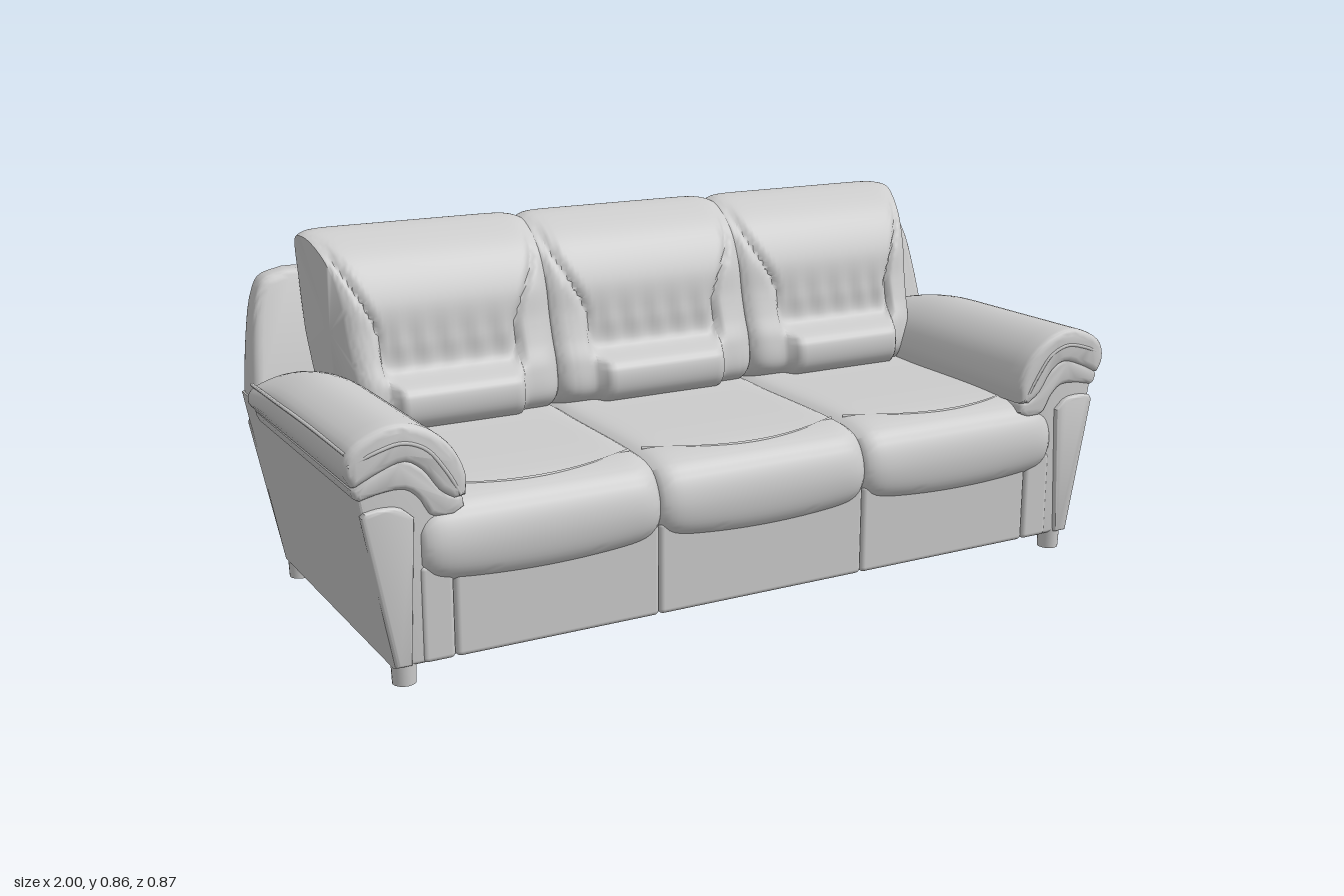
import * as THREE from 'three';
import { toCreasedNormals } from 'three/addons/utils/BufferGeometryUtils.js';
import { RoundedBoxGeometry } from 'three/addons/geometries/RoundedBoxGeometry.js';

const material = new THREE.MeshStandardMaterial({ color: 0xcccccc });
const smooth = THREE.MathUtils.smoothstep;
const bump = (d, w) => Math.exp(-(d / w) * (d / w));

function add(group, name, geometry, x = 0, y = 0, z = 0) {
  const mesh = new THREE.Mesh(geometry, material);
  mesh.name = name;
  mesh.position.set(x, y, z);
  group.add(mesh);
  return mesh;
}

// Moves every vertex by a rule, then restores soft normals
function reshape(geometry, rule, crease = 0.65) {
  const p = geometry.attributes.position;
  const v = new THREE.Vector3();
  for (let i = 0; i < p.count; i++) {
    rule(v.fromBufferAttribute(p, i));
    p.setXYZ(i, v.x, v.y, v.z);
  }
  return toCreasedNormals(geometry, crease);
}

// Extrudes a front outline from z0 to z1 with rounded edges
function slab(shape, z0, z1, bevel, rule = () => {}, steps = 1) {
  const geometry = new THREE.ExtrudeGeometry(shape, {
    depth: z1 - z0 - 2 * bevel, steps, curveSegments: 10,
    bevelSize: bevel, bevelThickness: bevel, bevelOffset: -bevel, bevelSegments: 4,
  });
  geometry.translate(0, 0, z0 + bevel);
  return reshape(geometry, rule);
}

const outline = (pts, side = 1) => new THREE.Shape(pts.map(([x, y]) => new THREE.Vector2(x * side, y)));

// Smooth outline through a few points
function curved(pts, n, closed = false) {
  const curve = new THREE.CatmullRomCurve3(pts.map(([a, b]) => new THREE.Vector3(a, b, 0)), closed, 'centripetal');
  return Array.from({ length: n }, (_, i) => {
    const p = curve.getPoint(i / (closed ? n : n - 1));
    return [p.x, p.y];
  });
}

// Cushion: closed (z, y) profiles lofted along x; section(u, j) returns [x, y, z]
function cushion(section, across, around) {
  const pos = [], index = [];
  for (let i = 0; i <= across; i++) {
    const t = (2 * i) / across - 1;
    const u = 0.5 * t + 0.5 * Math.sin((t * Math.PI) / 2);
    for (let j = 0; j < around; j++) pos.push(...section(u, j));
  }
  for (const i of [0, across]) {
    const c = [0, 0, 0];
    for (let j = 0; j < around; j++) for (let k = 0; k < 3; k++) c[k] += pos[(i * around + j) * 3 + k] / around;
    pos.push(...c);
  }
  const first = (across + 1) * around;
  for (let j = 0; j < around; j++) {
    const n = (j + 1) % around, last = across * around;
    for (let i = 0; i < across; i++) {
      const a = i * around, b = a + around;
      index.push(a + j, b + j, b + n, a + j, b + n, a + n);
    }
    index.push(first, j, n, first + 1, last + n, last + j);
  }
  const geometry = new THREE.BufferGeometry();
  geometry.setAttribute('position', new THREE.Float32BufferAttribute(pos, 3));
  geometry.setIndex(index);
  return toCreasedNormals(geometry, 0.9);
}

// Leaning rear plane shared by the arms and the back
const rear = (y) => -0.372 - 0.088 * (y - 0.04);

function seatCushion(cx, half) {
  const profile = curved([[0.39, 0.2], [0.425, 0.23], [0.438, 0.29], [0.428, 0.345], [0.4, 0.385], [0.36, 0.402],
    [0.28, 0.41], [0.0, 0.412], [-0.2, 0.41], [-0.28, 0.38], [-0.28, 0.22], [0, 0.2]], 64, true);
  return cushion((u, j) => {
    const [z, y] = profile[j];
    const edge = Math.abs(u) ** 14;
    const sag = 0.02 * u * u * (1 - smooth(y, 0.2, 0.34));
    return [cx + half * u, 0.3 + (y - 0.3) * (1 - 0.13 * edge) + sag, 0.08 + (z - 0.08) * (1 - 0.06 * edge)];
  }, 28, 64);
}

function backCushion(cx, half) {
  const around = 88;
  const rest = [[-0.2, 0.79], [-0.27, 0.842], [-0.33, 0.86], [-0.385, 0.845], [-0.365, 0.74], [-0.29, 0.5], [-0.25, 0.4]];
  const centre = curved([[-0.1, 0.4], [-0.052, 0.44], [-0.055, 0.505], [-0.125, 0.542], [-0.135, 0.61], [-0.148, 0.7], ...rest], around, true);
  const wing = curved([[-0.13, 0.4], [-0.085, 0.44], [-0.09, 0.51], [-0.115, 0.57], [-0.135, 0.63], [-0.155, 0.71], ...rest], around, true);
  return cushion((u, j) => {
    const a = Math.abs(u), yc = centre[j][1];
    const seam = 0.64 + 0.3 * smooth(yc, 0.58, 0.83);
    const k = smooth(a, seam - 0.07, seam + 0.07);
    let z = THREE.MathUtils.lerp(centre[j][0], wing[j][0], k);
    let y = THREE.MathUtils.lerp(yc, wing[j][1], k);
    // side seams and gathered folds above the lumbar roll
    const front = smooth(z, -0.3, -0.2);
    z -= front * 0.012 * bump(a - seam, 0.035);
    z += front * (1 - k) * 0.004 * Math.sin(u * 26) * bump(y - 0.6, 0.045);
    const edge = a ** 14;
    z = -0.27 + (z + 0.27) * (1 - 0.16 * edge);
    y = 0.62 + (y - 0.62) * (1 - 0.05 * edge);
    // the outer ends narrow toward the front
    const outer = cx * u > 0 ? u * u : 0;
    const x = cx + half * u - Math.sign(cx) * outer * 0.28 * Math.max(0, z + 0.32);
    return [x, y, z];
  }, 48, around);
}

function buildArm(side) {
  const arm = new THREE.Group();
  arm.name = side > 0 ? 'leftArm' : 'rightArm';

  // side panel flaring outward to the top
  const body = outline([[0.79, 0.042], [0.908, 0.042], [0.98, 0.47], [0.84, 0.49], [0.8, 0.4]], side);
  add(arm, 'armBody', slab(body, -0.37, 0.41, 0.012, (v) => {
    if (v.z < 0) v.z += rear(v.y) + 0.37;
  }));

  // tapered trim plates at both ends
  const plate = outline([[0.872, 0.048], [0.906, 0.048], [0.968, 0.39],
    ...curved([[0.962, 0.4], [0.93, 0.405], [0.885, 0.4], [0.855, 0.375]], 8)], side);
  add(arm, 'frontTrim', slab(plate, 0.395, 0.423, 0.008));
  add(arm, 'rearTrim', slab(plate, -0.01, 0.02, 0.008, (v) => { v.z += rear(v.y); }));

  // draped pad with a second roll tucked beneath it
  const settle = (v) => {
    const drop = v.z > 0 ? 0.006 * (1 - v.z / 0.42) : 0.006 + 0.045 * (v.z / 0.29) ** 2;
    v.y -= drop * THREE.MathUtils.clamp((v.y - 0.45) / 0.13, 0, 1);
  };
  const pad = outline([
    ...curved([[0.985, 0.457], [1, 0.49], [0.99, 0.535], [0.935, 0.57], [0.88, 0.58], [0.82, 0.562], [0.765, 0.515], [0.735, 0.45], [0.737, 0.405]], 30),
    ...curved([[0.765, 0.4], [0.8, 0.425], [0.835, 0.475], [0.87, 0.495], [0.92, 0.482], [0.975, 0.457]], 16)], side);
  add(arm, 'armPad', slab(pad, -0.29, 0.424, 0.018, settle, 16));
  const roll = outline([
    ...curved([[0.978, 0.43], [0.985, 0.455], [0.93, 0.49], [0.87, 0.505], [0.825, 0.475], [0.78, 0.42], [0.745, 0.405], [0.74, 0.38]], 24),
    ...curved([[0.765, 0.365], [0.815, 0.37], [0.84, 0.41], [0.87, 0.435], [0.92, 0.435], [0.968, 0.425]], 14)], side);
  add(arm, 'lowerRoll', slab(roll, -0.28, 0.418, 0.014));

  // piping around the pad, front face and outer flank
  const pipe = [[0.992, 0.505, 0.418], [0.93, 0.53, 0.423], [0.875, 0.54, 0.423], [0.825, 0.52, 0.423], [0.785, 0.47, 0.423], [0.75, 0.41, 0.42]];
  const flank = [[0.985, 0.513, -0.285], [0.992, 0.523, -0.1], [0.992, 0.528, 0.15], [0.992, 0.528, 0.41]];
  for (const pts of [pipe, flank]) {
    const curve = new THREE.CatmullRomCurve3(pts.map(([x, y, z]) => new THREE.Vector3(x * side, y, z)));
    add(arm, 'armPiping', new THREE.TubeGeometry(curve, 24, 0.0045, 6));
  }

  // short round legs
  for (const z of [0.385, -0.34]) {
    add(arm, 'leg', new THREE.CylinderGeometry(0.028, 0.026, 0.055, 20), side * 0.88, 0.0275, z);
  }
  return arm;
}

export function createModel() {
  const sofa = new THREE.Group();
  sofa.name = 'sofa';

  // base and its upholstered front panels
  add(sofa, 'base', new THREE.BoxGeometry(1.64, 0.24, 0.76), 0, 0.162, 0.01);
  for (const [x, w] of [[-0.807, 0.075], [-0.522, 0.493], [0, 0.55], [0.522, 0.493], [0.807, 0.075]]) {
    add(sofa, 'frontPanel', new RoundedBoxGeometry(w, 0.22, 0.08, 3, 0.012), x, 0.153, 0.375);
  }

  // three seats with their back cushions
  for (const i of [-1, 0, 1]) {
    const half = i ? 0.282 : 0.275;
    const cx = i * 0.557;
    add(sofa, 'seatCushion', seatCushion(cx, half));
    const arc = [-0.94, -0.6, -0.3, 0, 0.3, 0.6, 0.94].map((u) =>
      new THREE.Vector3(cx + half * u, 0.409 - 0.008 * (1 - u * u) - 0.007 * u ** 14, 0.36 - 0.075 * u * u));
    add(sofa, 'seatPiping', new THREE.TubeGeometry(new THREE.CatmullRomCurve3(arc), 24, 0.004, 6));
    add(sofa, 'backCushion', backCushion(cx, half));
  }

  // leaning back frame with rounded shoulders
  const rightEdge = [[0.875, 0.042], [0.945, 0.455], [0.976, 0.46],
    ...curved([[0.976, 0.48], [0.962, 0.6], [0.942, 0.7], [0.918, 0.745], [0.86, 0.762]], 16)];
  const leftEdge = rightEdge.map(([x, y]) => [-x, y]).reverse();
  add(sofa, 'backFrame', slab(outline([...rightEdge, ...leftEdge]), 0, 0.1, 0.022, (v) => {
    v.z = rear(v.y) + (v.z / 0.1) * (0.115 - 0.16 * (v.y - 0.45));
  }));

  sofa.add(buildArm(1), buildArm(-1));
  return sofa;
}
